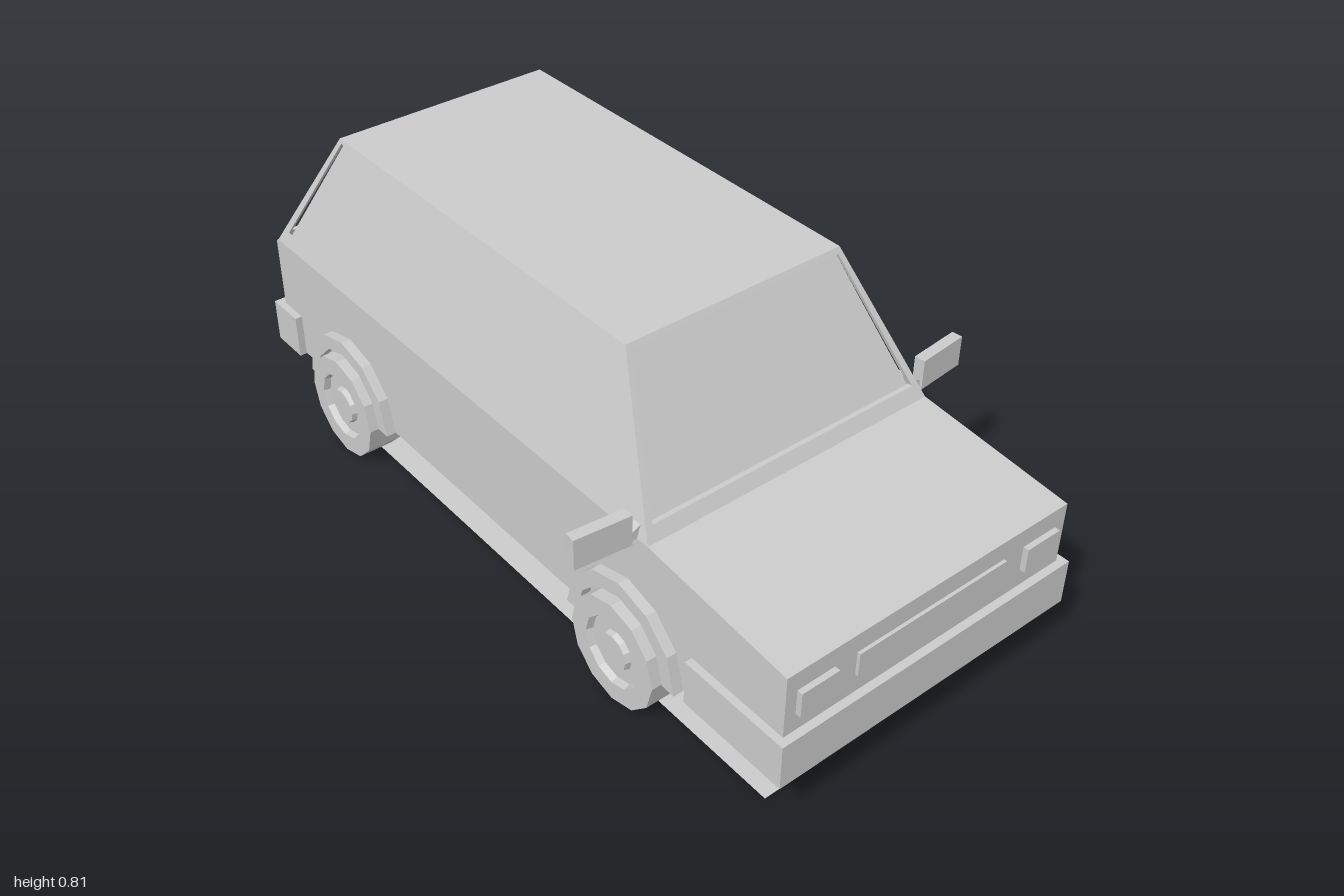
import * as THREE from 'three';
import { ConvexGeometry } from 'three/addons/geometries/ConvexGeometry.js';

const material = new THREE.MeshStandardMaterial({ color: 0xcccccc, flatShading: true });
const thinMaterial = new THREE.MeshStandardMaterial({ color: 0xcccccc, flatShading: true, side: THREE.DoubleSide });

const BELT = 0.465, ROOF = 0.81, RECESS = 0.012;

function polygon(points) {
  return new THREE.Shape(points.map(([x, y]) => new THREE.Vector2(x, y)));
}

function add(parent, name, geometry, mat = material) {
  const mesh = new THREE.Mesh(geometry, mat);
  mesh.name = name;
  parent.add(mesh);
  return mesh;
}

// Box given by its lower and upper limits on each axis
function addBox(parent, name, [x0, x1], [y0, y1], [z0, z1]) {
  const mesh = add(parent, name, new THREE.BoxGeometry(x1 - x0, y1 - y0, z1 - z0));
  mesh.position.set((x0 + x1) / 2, (y0 + y1) / 2, (z0 + z1) / 2);
  return mesh;
}

// Cabin wall: an upright panel with window holes, leaned inwards by a shear and turned to its side
function addWall(parent, name, outline, windows, distBottom, distTop, angle) {
  const shape = polygon(outline);
  shape.holes = windows.map(polygon);
  const geometry = new THREE.ExtrudeGeometry(shape, { depth: RECESS, bevelEnabled: false });
  const k = (distBottom - distTop) / (ROOF - BELT);
  geometry.applyMatrix4(new THREE.Matrix4().set(
    1, 0, 0, 0,
    0, 1, 0, 0,
    0, -k, 1, distBottom + k * BELT - RECESS,
    0, 0, 0, 1));
  geometry.rotateY(angle);
  add(parent, name, geometry);
}

function createCabin() {
  const cabin = new THREE.Group();
  cabin.name = 'cabin';
  const xb = 0.408, xt = 0.302, fb = 0.56, ft = 0.355, rb = 0.965, rt = 0.765;

  // Glass core seen through the window openings
  const corners = [];
  for (const [y, x, f, r] of [[BELT - 0.02, xb, fb, rb], [ROOF - 0.002, xt, ft, rt]])
    for (const s of [-1, 1])
      for (const z of [f - RECESS, -r + RECESS])
        corners.push(new THREE.Vector3(s * (x - RECESS), y, z));
  add(cabin, 'windowGlass', new ConvexGeometry(corners));
  addBox(cabin, 'roof', [-xt, xt], [ROOF - 0.01, ROOF], [-rt, ft]);

  // Front and rear frames
  const endOutline = [[-xb, BELT], [xb, BELT], [xt, ROOF], [-xt, ROOF]];
  const endWindow = [[-0.38, 0.497], [0.38, 0.497], [0.292, 0.797], [-0.292, 0.797]];
  addWall(cabin, 'windscreenFrame', endOutline, [endWindow], fb, ft, 0);
  addWall(cabin, 'rearWindowFrame', endOutline, [endWindow], rb, rt, Math.PI);

  // Side frames with three windows each, drawn in z and y
  const sideOutline = [[fb, BELT], [-rb, BELT], [-rt, ROOF], [ft, ROOF]];
  const sideWindows = [
    [[0.51, 0.503], [0.02, 0.503], [0.02, 0.8], [0.348, 0.8]],
    [[-0.003, 0.503], [-0.43, 0.503], [-0.43, 0.8], [-0.003, 0.8]],
    [[-0.455, 0.503], [-0.92, 0.503], [-0.755, 0.8], [-0.455, 0.8]],
  ];
  for (const s of [-1, 1]) {
    const turn = (pts) => pts.map(([z, y]) => [-s * z, y]);
    addWall(cabin, s > 0 ? 'leftWindowFrame' : 'rightWindowFrame',
      turn(sideOutline), sideWindows.map(turn), xb, xt, s * Math.PI / 2);
  }
  return cabin;
}

// Twelve-sided wheel with recessed rim and raised hub, its axis along x
function createWheel() {
  const profile = [[0, -0.048], [0.14, -0.048], [0.14, 0.047], [0.09, 0.047], [0.085, 0.03],
    [0.05, 0.03], [0.046, 0.044], [0, 0.044]].map(([r, y]) => new THREE.Vector2(r, y));
  const geometry = new THREE.LatheGeometry(profile, 12);
  geometry.rotateZ(-Math.PI / 2);
  return geometry;
}

// Half ring standing out around a wheel, extruded along x
function createArch() {
  const points = [];
  for (let i = 0; i <= 6; i++) points.push([0.186 * Math.cos(i * Math.PI / 6), 0.186 * Math.sin(i * Math.PI / 6)]);
  for (let i = 6; i >= 0; i--) points.push([0.147 * Math.cos(i * Math.PI / 6), 0.147 * Math.sin(i * Math.PI / 6)]);
  const geometry = new THREE.ExtrudeGeometry(polygon(points), { depth: 0.04, bevelEnabled: false });
  geometry.translate(0, 0, -0.02);
  geometry.rotateY(Math.PI / 2);
  return geometry;
}

// Wing mirror with a recessed glass facing back
function createMirror(s) {
  const mirror = new THREE.Group();
  mirror.name = s > 0 ? 'leftMirror' : 'rightMirror';
  const head = new THREE.Group();
  head.name = 'mirrorHead';
  const rect = (w, h) => [[-w, -h], [w, -h], [w, h], [-w, h]];
  const frame = polygon(rect(0.07, 0.04));
  frame.holes = [polygon(rect(0.062, 0.032))];
  const shell = new THREE.ExtrudeGeometry(frame, { depth: 0.028, bevelEnabled: false });
  add(head, 'mirrorShell', shell.translate(0, 0, -0.014));
  addBox(head, 'mirrorGlass', [-0.07, 0.07], [-0.04, 0.04], [-0.006, 0.014]);
  head.position.set(s * 0.494, 0.5, 0.511);
  head.rotation.y = s * 0.1;
  mirror.add(head);
  const arm = polygon([[s * 0.39, 0.464], [s * 0.428, 0.464], [s * 0.428, 0.482], [s * 0.39, 0.5]]);
  const armGeometry = new THREE.ExtrudeGeometry(arm, { depth: 0.02, bevelEnabled: false });
  add(mirror, 'mirrorArm', armGeometry.translate(0, 0, 0.505));
  return mirror;
}

export function createModel() {
  const car = new THREE.Group();
  car.name = 'car';

  // Lower body from its side profile
  const side = polygon([[0.98, 0.145], [0.98, 0.425], [0.56, BELT], [-0.967, BELT], [-0.975, 0.458], [-0.975, 0.145]]);
  const body = new THREE.ExtrudeGeometry(side, { depth: 0.816, bevelEnabled: false });
  body.translate(0, 0, -0.408);
  body.rotateY(-Math.PI / 2);
  add(car, 'lowerBody', body);
  car.add(createCabin());

  // Bumpers, grille and rear handle
  addBox(car, 'frontBumper', [-0.427, 0.427], [0.143, 0.262], [0.705, 1]);
  addBox(car, 'rearBumper', [-0.427, 0.427], [0.143, 0.262], [-1, -0.89]);
  addBox(car, 'grille', [-0.216, 0.216], [0.313, 0.375], [0.97, 0.988]);
  addBox(car, 'tailgateHandle', [-0.068, 0.068], [0.335, 0.355], [-0.99, -0.965]);

  // Parts found on both sides
  const wheelGeometry = createWheel(), archGeometry = createArch();
  for (const s of [-1, 1]) {
    const label = s > 0 ? 'Left' : 'Right';
    const span = (a, b) => (s > 0 ? [a, b] : [-b, -a]);
    addBox(car, 'headlight' + label, span(0.277, 0.378), [0.31, 0.375], [0.97, 0.994]);
    addBox(car, 'tailLight' + label, span(0.267, 0.392), [0.315, 0.378], [-0.992, -0.965]);
    for (const [end, z] of [['front', 0.495], ['rear', -0.63]]) {
      const wheel = add(car, end + 'Wheel' + label, wheelGeometry);
      wheel.position.set(s * 0.408, 0.14, z);
      wheel.rotation.y = s > 0 ? 0 : Math.PI;
      add(car, end + 'WheelArch' + label, archGeometry).position.set(s * 0.414, 0.145, z);
    }
    car.add(createMirror(s));
  }

  // Flat sheet on the ground under the car
  const sheet = new THREE.PlaneGeometry(0.76, 1.83);
  sheet.rotateX(-Math.PI / 2);
  add(car, 'groundSheet', sheet, thinMaterial);
  return car;
}
